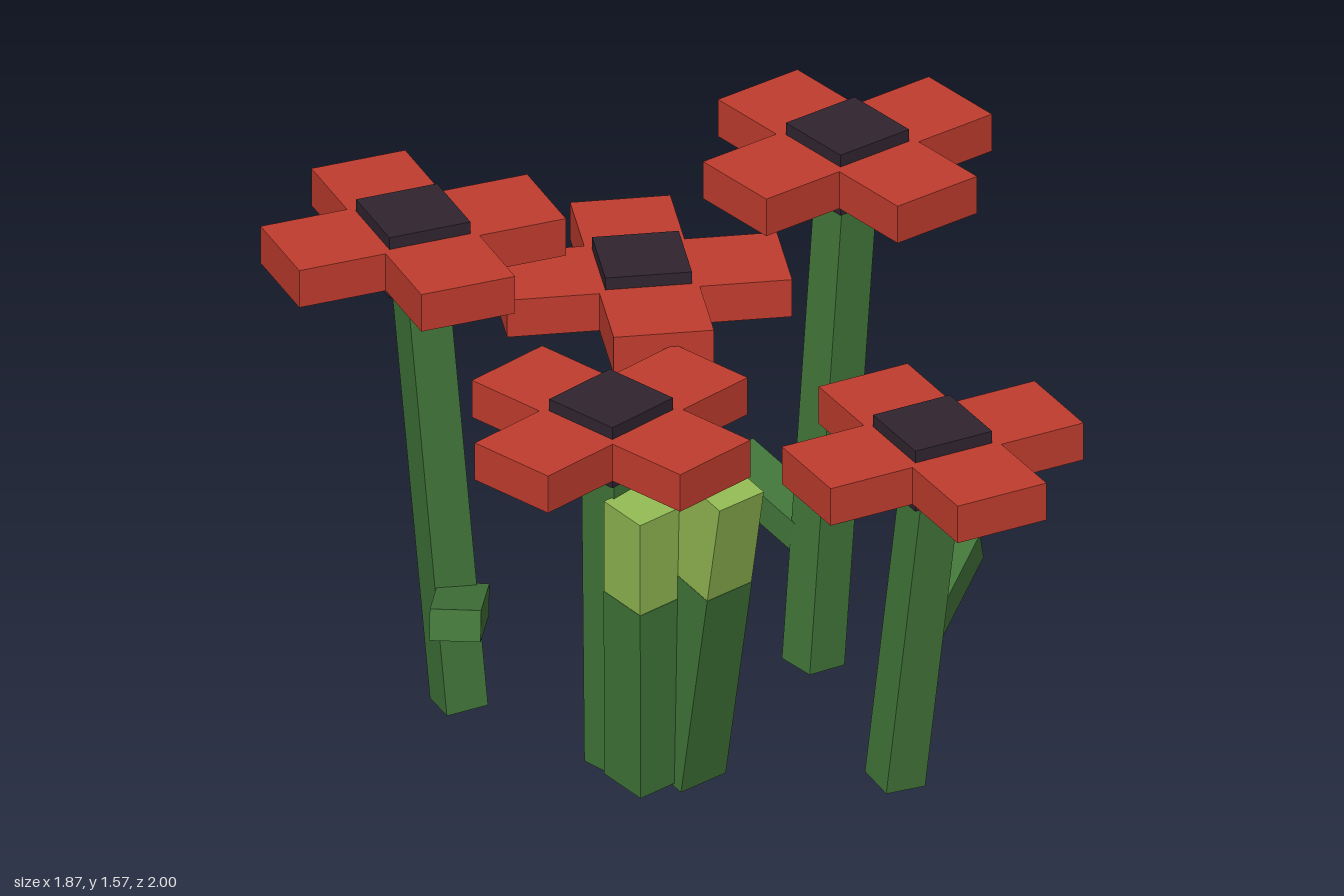
import * as THREE from 'three';

const material = (name, color) => {
  const m = new THREE.MeshStandardMaterial({ color });
  m.name = name;
  return m;
};
const UP = new THREE.Vector3(0, 1, 0);

export function createModel() {
  const petalRed = material('petalRed', 0xc03c2e);
  const centreDark = material('centreDark', 0x30242f);
  const stemGreen = material('stemGreen', 0x42763a);
  const budGreen = material('budGreen', 0x92b953);
  const model = new THREE.Group();
  model.name = 'flowerCluster';

  const box = (parent, name, size, mat) => {
    const mesh = new THREE.Mesh(new THREE.BoxGeometry(...size), mat);
    mesh.name = name;
    parent.add(mesh);
    return mesh;
  };

  // Upright square bar running from a to b, twisted by yaw
  const bar = (parent, name, a, b, width, yaw, mat) => {
    const dir = b.clone().sub(a);
    const mesh = box(parent, name, [width, dir.length(), width], mat);
    mesh.position.copy(a).lerp(b, 0.5);
    mesh.quaternion.setFromUnitVectors(UP, dir.normalize())
      .multiply(new THREE.Quaternion().setFromAxisAngle(UP, yaw));
  };

  // Flat leaf running outward from a to b
  const leaf = (parent, a, b) => {
    const dir = b.clone().sub(a);
    const mesh = box(parent, 'leaf', [0.135, 0.085, dir.length()], stemGreen);
    mesh.position.copy(a).lerp(b, 0.5);
    dir.normalize();
    const side = UP.clone().cross(dir).normalize();
    mesh.quaternion.setFromRotationMatrix(
      new THREE.Matrix4().makeBasis(side, dir.clone().cross(side), dir));
  };

  const v = (p) => new THREE.Vector3(...p);

  // Flowers: head centre, turn in degrees, stem foot and top, leaf root and tip
  const flowers = [
    { head: [-0.54, 1.385, -0.6], turn: -13.8, foot: [-0.45, 0.02, -0.52], top: [-0.53, 1.34, -0.595],
      leaf: [[-0.45, 0.335, -0.5], [-0.66, 0.43, -0.25]] },
    { head: [0.13, 1.085, -0.5], turn: -27.5, foot: [0.055, 0.02, -0.4], top: [0.115, 1.04, -0.49],
      leaf: [[0.09, 0.62, -0.45], [-0.17, 0.73, -0.59]] },
    { head: [0.545, 1.485, -0.155], turn: 2.3, foot: [0.43, 0.02, -0.15], top: [0.54, 1.44, -0.15],
      leaf: [[0.47, 0.37, -0.18], [0.42, 0.475, -0.5]] },
    { head: [-0.362, 1.045, 0.035], turn: 10, foot: [-0.31, 0.02, -0.015], top: [-0.36, 1, 0.04],
      leaf: [[-0.33, 0.61, 0.02], [-0.08, 0.72, 0.235]] },
    { head: [0.265, 1.02, 0.605], turn: -7.4, foot: [0.22, 0.02, 0.5], top: [0.265, 0.98, 0.605],
      leaf: [[0.27, 0.47, 0.52], [0.53, 0.565, 0.355]] },
  ];
  for (const f of flowers) {
    const flower = new THREE.Group();
    flower.name = 'flower';
    model.add(flower);
    const yaw = THREE.MathUtils.degToRad(f.turn);

    const head = new THREE.Group();
    head.name = 'flowerHead';
    head.position.set(...f.head);
    head.rotation.y = yaw;
    flower.add(head);
    box(head, 'flowerCentre', [0.23, 0.18, 0.23], centreDark);
    for (let i = 0; i < 4; i++) {
      const angle = (i * Math.PI) / 2;
      const petal = box(head, 'petal', [0.245, 0.11, 0.266], petalRed);
      petal.position.set(Math.cos(angle) * 0.2555, 0, Math.sin(angle) * 0.2555);
      petal.rotation.y = -angle;
    }
    // Red ring filling between the petals and the centre
    box(head, 'petalHub', [0.266, 0.11, 0.266], petalRed);

    bar(flower, 'stem', v(f.foot), v(f.top), 0.117, yaw, stemGreen);
    leaf(flower, ...f.leaf.map(v));
  }

  // Closed buds: thick blades with a pale tip from a given share of the length
  const buds = [
    { foot: [-0.185, 0.02, 0.122], tip: [-0.212, 0.955, 0.33], split: 0.68, yaw: 0.06 },
    { foot: [-0.3, 0.02, 0.1], tip: [-0.35, 0.875, 0.165], split: 0.67, yaw: 0.05 },
    { foot: [-0.025, 0.02, -0.3], tip: [-0.02, 0.785, -0.405], split: 0.7, yaw: 0.1 },
  ];
  for (const b of buds) {
    const bud = new THREE.Group();
    bud.name = 'bud';
    model.add(bud);
    const foot = v(b.foot), tip = v(b.tip);
    const joint = foot.clone().lerp(tip, b.split);
    bar(bud, 'budStalk', foot, joint, 0.152, b.yaw, stemGreen);
    bar(bud, 'budTip', joint, tip, 0.15, b.yaw, budGreen);
  }
  return model;
}
